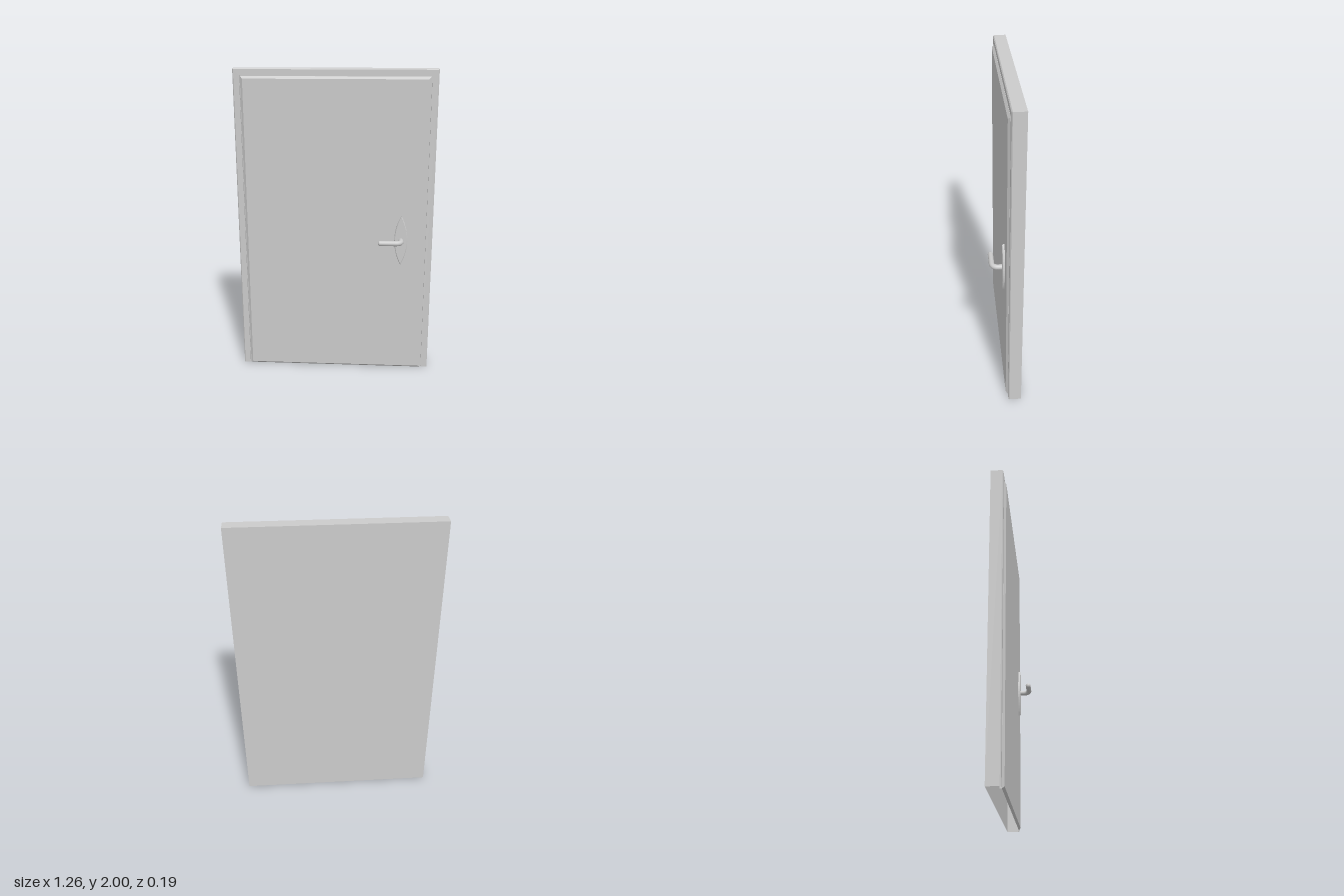
import * as THREE from 'three';

const W = 0.632, H = 2;
const BACK = -0.095, FRAME_Z = -0.014, DOOR_Z = -0.001, SILL = 0.013;

const shell = new THREE.MeshStandardMaterial({ color: 0xcccccc, side: THREE.DoubleSide });
const metal = new THREE.MeshStandardMaterial({ color: 0xcccccc });

function addMesh(group, name, geometry, material) {
  const mesh = new THREE.Mesh(geometry, material);
  mesh.name = name;
  group.add(mesh);
  return mesh;
}

// Arch of four corners (left foot, two top corners, right foot), inset from the outline
const arch = ([inset, z, foot = 0]) => [
  [-W + inset, foot, z], [-W + inset, H - inset, z],
  [W - inset, H - inset, z], [W - inset, foot, z],
];

// Flat-shaded geometry from four-cornered faces
function quads(list) {
  const pos = [];
  for (const [a, b, c, d] of list) pos.push(...a, ...b, ...c, ...a, ...c, ...d);
  const g = new THREE.BufferGeometry();
  g.setAttribute('position', new THREE.Float32BufferAttribute(pos, 3));
  g.computeVertexNormals();
  return g;
}

// Faces between successive arches of a [inset, z, foot] profile
function loft(profile) {
  const faces = [];
  for (let i = 0; i < profile.length - 1; i++) {
    const a = arch(profile[i]), b = arch(profile[i + 1]);
    for (let k = 0; k < 3; k++) faces.push([a[k], a[k + 1], b[k + 1], b[k]]);
  }
  return faces;
}

export function createModel() {
  const model = new THREE.Group();
  model.name = 'door';

  // Frame: hollow casing open at the floor, with softened outer edge and a shadow gap
  const frameProfile = [
    [0, BACK], [0, FRAME_Z - 0.006], [0.006, FRAME_Z],
    [0.042, FRAME_Z], [0.042, FRAME_Z - 0.012], [0.047, FRAME_Z - 0.012],
  ];
  const back = arch([0, BACK]);
  addMesh(model, 'frame', quads([...loft(frameProfile), back]), shell);

  // Door leaf: raised panel with a bevel on all four sides
  const rim = [0.047, FRAME_Z], face = [0.062, DOOR_Z, SILL];
  const r = arch(rim), f = arch(face);
  addMesh(model, 'doorLeaf', quads([
    ...loft([[0.047, FRAME_Z - 0.012], rim, face]),
    [r[3], r[0], f[0], f[3]],
    [f[3], f[2], f[1], f[0]].reverse(),
  ]), shell);

  // Handle set
  const handle = new THREE.Group();
  handle.name = 'handle';
  handle.position.set(0.428, 0.918, 0);
  model.add(handle);

  // Pointed-oval backplate
  const lens = new THREE.Shape();
  lens.moveTo(0, -0.16);
  lens.quadraticCurveTo(0.078, 0, 0, 0.16);
  lens.quadraticCurveTo(-0.078, 0, 0, -0.16);
  const plate = new THREE.ExtrudeGeometry(lens, {
    depth: 0.011, bevelEnabled: true, bevelThickness: 0.004, bevelSize: 0.004,
    bevelOffset: -0.001, bevelSegments: 1, curveSegments: 16,
  });
  plate.translate(0, 0, -0.001);
  addMesh(handle, 'backplate', plate, metal);

  // Lever: straight spindle, rounded elbow, straight grip
  const R = 0.0165, Z = 0.074, TIP = -0.137, BEND = 0.04;
  const path = new THREE.CurvePath();
  const p = (x, z) => new THREE.Vector3(x, 0, z);
  path.add(new THREE.LineCurve3(p(0, 0), p(0, Z - BEND)));
  path.add(new THREE.QuadraticBezierCurve3(p(0, Z - BEND), p(0, Z), p(-BEND, Z)));
  path.add(new THREE.LineCurve3(p(-BEND, Z), p(TIP, Z)));
  addMesh(handle, 'lever', new THREE.TubeGeometry(path, 40, R, 16), metal);

  // Rounded tip closing the grip
  const tip = new THREE.SphereGeometry(R, 16, 8, 0, Math.PI * 2, 0, Math.PI / 2);
  tip.scale(1, 0.7, 1);
  tip.rotateZ(Math.PI / 2);
  addMesh(handle, 'leverTip', tip, metal).position.set(TIP, 0, Z);

  return model;
}
